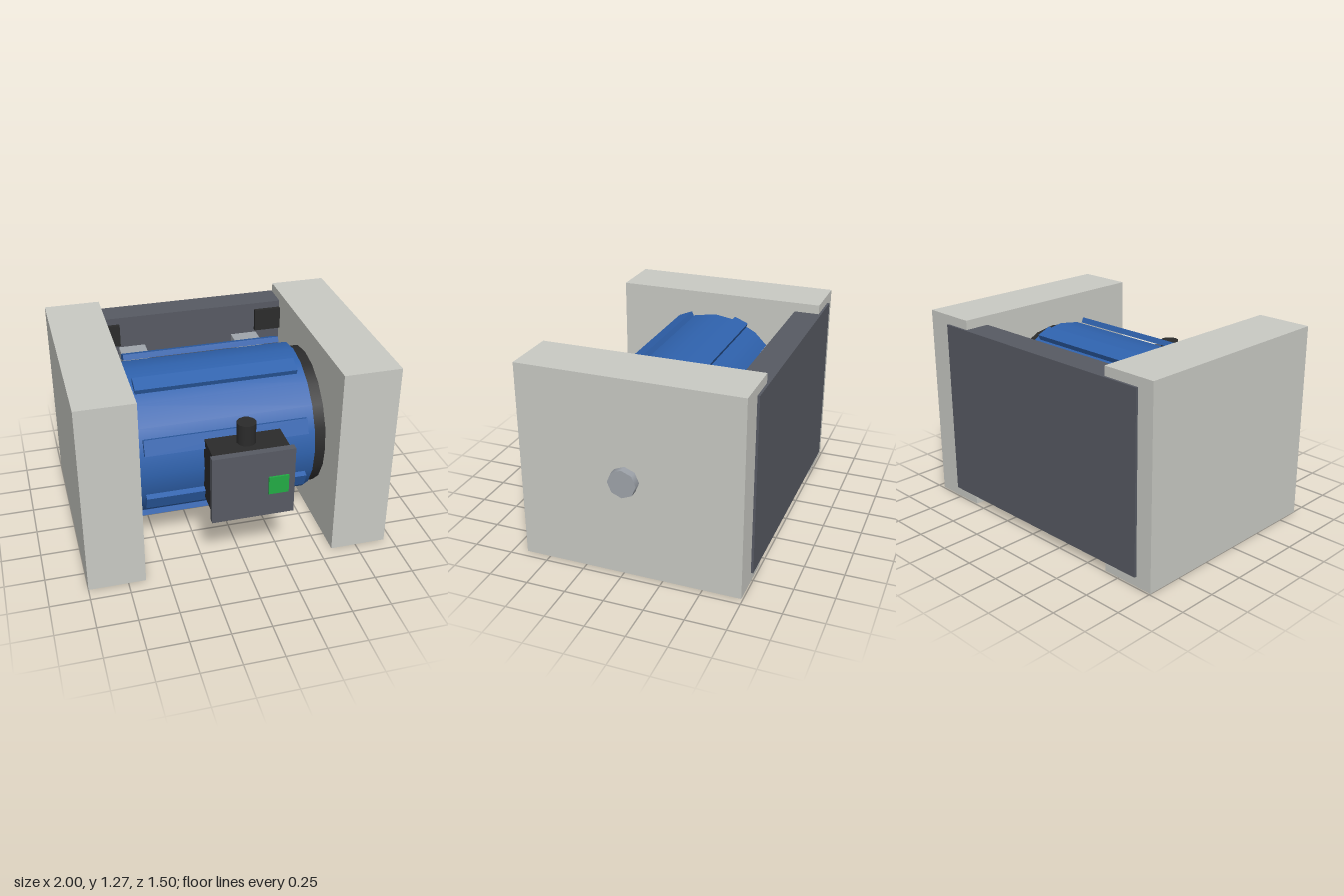
import * as THREE from 'three';

const mat = (name, color) => {
  const m = new THREE.MeshStandardMaterial({ color });
  m.name = name;
  return m;
};

export function createModel() {
  const model = new THREE.Group();
  model.name = 'electricMotor';
  const stone = mat('pale grey', 0xc9cac4);
  const blue = mat('motor blue', 0x2f62ad);
  const slate = mat('slate grey', 0x575a63);
  const black = mat('black', 0x2b2b2b);
  const steel = mat('steel', 0x9fa4ab);
  const green = mat('green', 0x22ab44);
  const tag = mat('tag silver', 0xd2d2cd);

  const add = (name, geometry, material, parent = model) => {
    const mesh = new THREE.Mesh(geometry, material);
    mesh.name = name;
    parent.add(mesh);
    return mesh;
  };
  // Box given by its lower and upper limits on each axis
  const box = (name, material, [x0, x1], [y0, y1], [z0, z1]) => {
    const g = new THREE.BoxGeometry(x1 - x0, y1 - y0, z1 - z0);
    return add(name, g.translate((x0 + x1) / 2, (y0 + y1) / 2, (z0 + z1) / 2), material);
  };
  // Cylinder lying along x on the motor axis
  const AXIS_Y = 0.64, AXIS_Z = -0.02;
  const drum = (name, material, r, x0, x1, sides) => {
    const g = new THREE.CylinderGeometry(r, r, x1 - x0, sides).rotateZ(-Math.PI / 2);
    return add(name, g.translate((x0 + x1) / 2, AXIS_Y, AXIS_Z), material);
  };

  // End blocks
  box('rightEndBlock', stone, [-1, -0.64], [0, 1.275], [-0.74, 0.66]);
  box('leftEndBlock', stone, [0.585, 0.95], [0, 1.275], [-0.74, 0.66]);

  // Motor body, end bells and shaft
  drum('motorBody', blue, 0.487, -0.63, 0.505, 20);
  drum('rightEndBell', black, 0.457, -0.7, -0.63, 20);
  drum('leftEndBell', black, 0.457, 0.505, 0.62, 20);
  drum('shaft', steel, 0.09, 0.9, 1, 8);

  // Eight cooling ribs around the body
  const ribs = new THREE.Group();
  ribs.name = 'coolingRibs';
  ribs.position.set(-0.065, AXIS_Y, AXIS_Z);
  model.add(ribs);
  for (let i = 0; i < 8; i++) {
    const g = new THREE.BoxGeometry(1.03, 0.036, 0.1).translate(0, 0.51, 0);
    add('coolingRib', g.rotateX((i + 0.5) * Math.PI / 4), blue, ribs);
  }

  // Back panel with corner brackets and mounting pads
  box('backPanel', slate, [-0.89, 0.77], [0.065, 1.215], [-0.755, -0.575]);
  for (const [x0, x1] of [[-0.72, -0.535], [0.405, 0.6]])
    for (const [y0, y1] of [[0.11, 0.26], [1.02, 1.17]])
      box('cornerBracket', black, [x0, x1], [y0, y1], [-0.58, -0.55]);
  for (const x of [-0.545, 0.24])
    box('mountingPad', steel, [x, x + 0.178], [0.28, 1], [-0.58, -0.425]);

  // Terminal box with lid, cable gland and indicator
  box('terminalBox', black, [-0.21, 0.268], [0.425, 0.85], [0.38, 0.68]);
  box('terminalLid', slate, [-0.23, 0.285], [0.412, 0.867], [0.68, 0.725]);
  box('indicator', green, [0.115, 0.24], [0.58, 0.7], [0.737, 0.749]);
  const gland = new THREE.CylinderGeometry(0.06, 0.06, 0.2, 12);
  add('cableGland', gland.translate(0.027, 0.887, 0.55), black);

  // Rating plate on the underside
  box('ratingPlate', tag, [-0.29, 0.16], [0.12, 0.16], [-0.135, 0.095]);
  box('ratingPlateInset', black, [-0.16, 0.03], [0.106, 0.12], [-0.06, 0.02]);

  return model;
}
